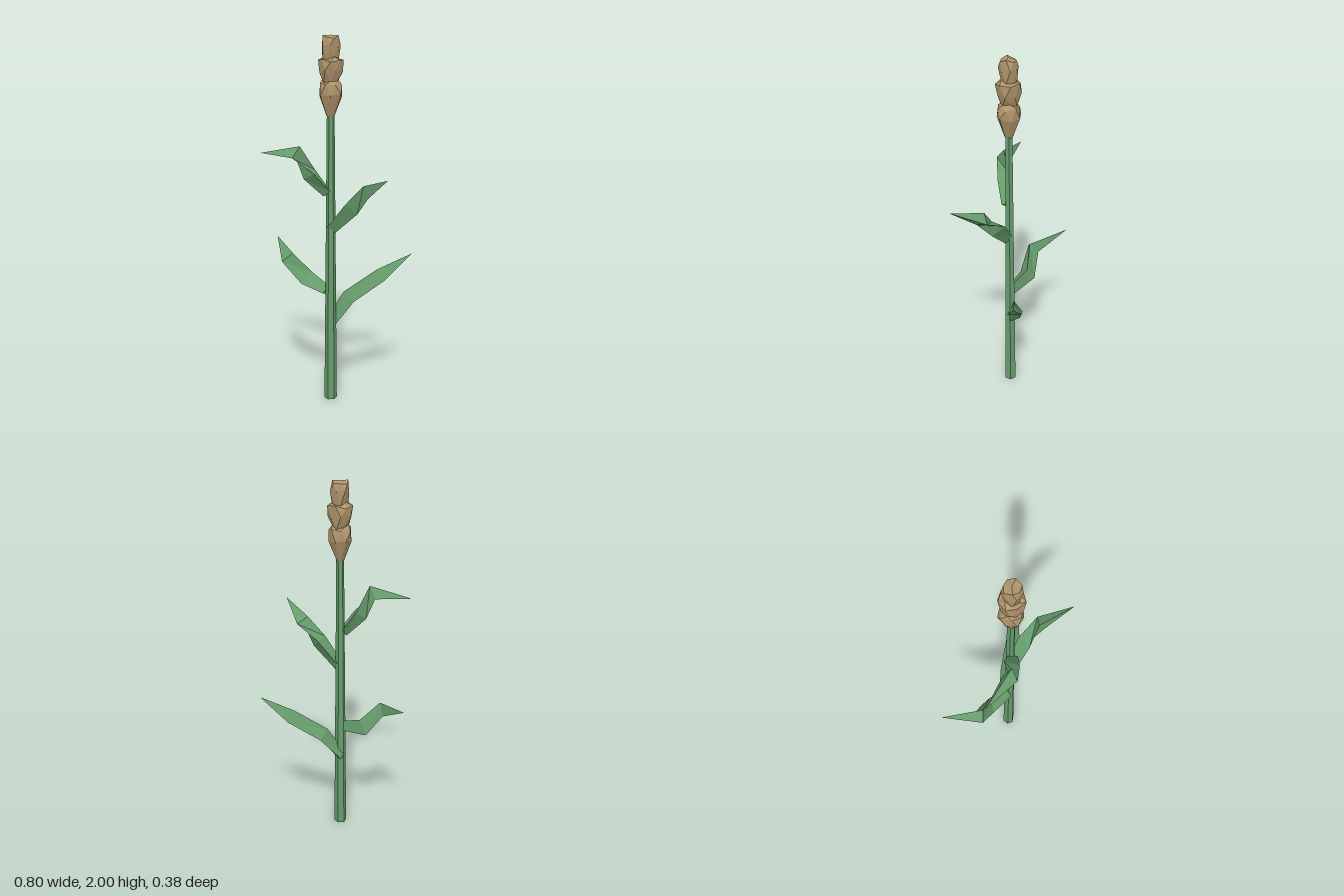
import * as THREE from 'three';

const V = (x, y, z) => new THREE.Vector3(x, y, z);
const green = new THREE.MeshStandardMaterial({ color: 0x669c6c, flatShading: true });
const tan = new THREE.MeshStandardMaterial({ color: 0xb0946c, flatShading: true });
const STEM_X = 0.021, STEM_Z = 0.039;

// Closed faceted skin through rings of points, with a fan to a point at each end
function loft(rings, start, end) {
  const n = rings[0].length, pts = [];
  for (let j = 0; j < n; j++) {
    const k = (j + 1) % n;
    pts.push(start, rings[0][k], rings[0][j]);
    for (let i = 0; i < rings.length - 1; i++) {
      const lo = rings[i], hi = rings[i + 1];
      pts.push(lo[j], lo[k], hi[j], lo[k], hi[k], hi[j]);
    }
    const last = rings[rings.length - 1];
    pts.push(last[j], last[k], end);
  }
  const geo = new THREE.BufferGeometry().setFromPoints(pts);
  geo.computeVertexNormals();
  return geo;
}

// Three-sided blade along a bent spine; the last spine point is the tip
function leafGeometry(spine, radii, rolls) {
  const p = spine.map(a => V(...a));
  const rings = radii.map((r, i) => {
    const t = p[i + 1].clone().sub(p[i]).normalize();
    if (i > 0) t.add(p[i].clone().sub(p[i - 1]).normalize()).normalize();
    const side = V(0, 1, 0).cross(t).normalize();
    const up = t.clone().cross(side);
    return [0, 1, 2].map(k => {
      const a = THREE.MathUtils.degToRad(rolls[i] - k * 120);
      return p[i].clone().addScaledVector(up, r * Math.cos(a)).addScaledVector(side, r * Math.sin(a));
    });
  });
  return loft(rings, p[0], p[p.length - 1]);
}

// Lumpy seed head: each ring is turned half a step so the facets become triangles
function headGeometry() {
  const profile = [[1.59, 0.02], [1.7, 0.063], [1.755, 0.059], [1.77, 0.044], [1.82, 0.061],
    [1.875, 0.063], [1.885, 0.04], [1.945, 0.049], [1.99, 0.042]];
  const sides = 7;
  const rings = profile.map(([y, r], i) => Array.from({ length: sides }, (_, j) => {
    const a = (j + i / 2) / sides * Math.PI * 2;
    const wob = Math.sin(i * 5.3 + j * 2.4);
    const rr = r * (1 + 0.07 * wob);
    const dy = i === 0 ? 0 : 0.009 * Math.sin(i * 3.1 + j * 4.2);
    return V(STEM_X + rr * Math.sin(a), Math.min(y + dy, 2), STEM_Z + rr * Math.cos(a));
  }));
  return loft(rings, V(STEM_X, 1.59, STEM_Z), V(STEM_X, 2, STEM_Z));
}

export function createModel() {
  const group = new THREE.Group();
  const add = (name, geo, mat) => {
    const mesh = new THREE.Mesh(geo, mat);
    mesh.name = name;
    group.add(mesh);
    return mesh;
  };

  // Tapered stalk
  add('stalk', new THREE.CylinderGeometry(0.02, 0.035, 1.62, 6), green)
    .position.set(STEM_X, 0.81, STEM_Z);

  // Seed head
  add('seedHead', headGeometry(), tan);

  // Leaves: spine, section radii, section rolls in degrees
  add('lowerLeftLeaf', leafGeometry(
    [[0.01, 0.45, 0.02], [0.10, 0.593, -0.037], [0.257, 0.715, -0.117], [0.40, 0.84, -0.19]],
    [0.035, 0.046, 0.044], [100, 112, 120]), green);
  add('upperLeftLeaf', leafGeometry(
    [[0.03, 0.995, 0.045], [0.15, 1.123, 0.046], [0.253, 1.215, 0.064], [0.40, 1.307, 0.165]],
    [0.032, 0.048, 0.042], [60, 62, 95]), green);
  add('upperRightLeaf', leafGeometry(
    [[0.015, 1.19, 0.06], [-0.062, 1.29, 0.105], [-0.125, 1.40, 0.152], [-0.335, 1.392, 0.16]],
    [0.03, 0.047, 0.045], [60, 72, 115]), green);
  add('lowerRightLeaf', leafGeometry(
    [[0.0, 0.635, 0.045], [-0.14, 0.67, 0.012], [-0.243, 0.785, 0.035], [-0.40, 0.862, -0.11]],
    [0.033, 0.052, 0.045], [100, 105, 110]), green);

  return group;
}
